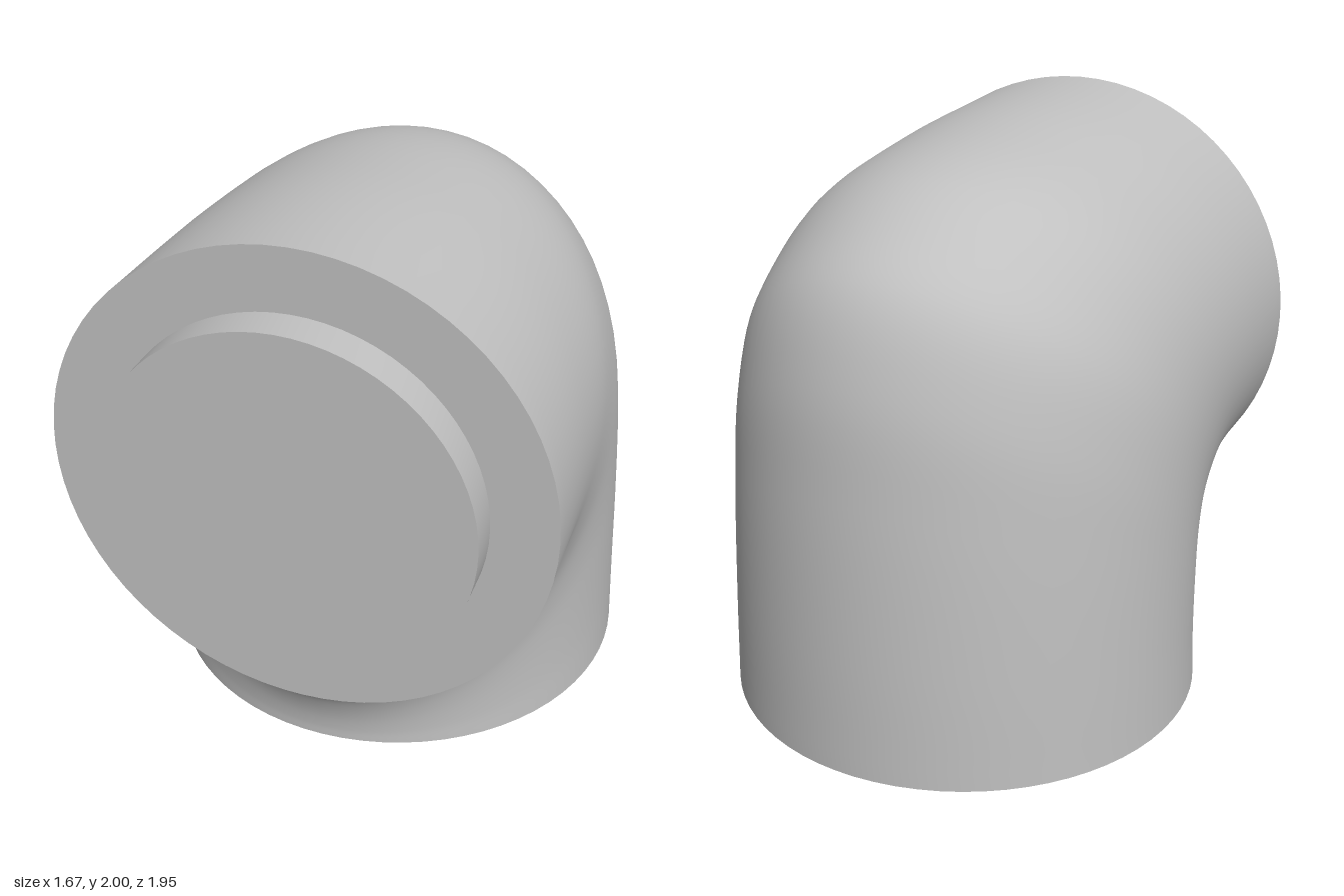
import * as THREE from 'three';
import { toCreasedNormals } from 'three/addons/utils/BufferGeometryUtils.js';

const SEGMENTS = 72;
const STEPS = 48;

const curve = (points) =>
  new THREE.CatmullRomCurve3(points.map(([y, z]) => new THREE.Vector3(0, y, z)));

// Elliptical sections spanning the outer and inner bend of the elbow
function elbowGeometry() {
  const outer = curve([[0.02, -0.973], [0.44, -0.966], [0.97, -0.94], [1.34, -0.897], [1.62, -0.79],
    [1.775, -0.605], [1.9, -0.34], [1.97, 0.19], [2, 0.855]]);
  const inner = curve([[0.02, 0.697], [0.06, 0.698], [0.12, 0.707], [0.18, 0.725], [0.235, 0.75],
    [0.285, 0.785], [0.32, 0.82], [0.335, 0.84], [0.34, 0.855]]);
  const positions = [];
  const indices = [];
  for (let i = 0; i <= STEPS; i++) {
    const t = i / STEPS;
    const o = outer.getPoint(t);
    const n = inner.getPoint(t);
    const centre = o.clone().add(n).multiplyScalar(0.5);
    const half = o.clone().sub(n).multiplyScalar(0.5);
    const width = 0.833 - 0.003 * t - 0.022 * Math.sin(Math.PI * t);
    for (let j = 0; j < SEGMENTS; j++) {
      const a = (j / SEGMENTS) * Math.PI * 2;
      const s = Math.sin(a);
      positions.push(width * Math.cos(a), centre.y + half.y * s, centre.z + half.z * s);
      if (i < STEPS) {
        const p = i * SEGMENTS + j;
        const q = i * SEGMENTS + (j + 1) % SEGMENTS;
        indices.push(p, q, p + SEGMENTS, q, q + SEGMENTS, p + SEGMENTS);
      }
    }
  }
  const geometry = new THREE.BufferGeometry();
  geometry.setAttribute('position', new THREE.Float32BufferAttribute(positions, 3));
  geometry.setIndex(indices);
  geometry.computeVertexNormals();
  return geometry;
}

// Turned end with sharp edges
function turned(profile) {
  const points = profile.map(([r, y]) => new THREE.Vector2(r, y));
  return toCreasedNormals(new THREE.LatheGeometry(points, SEGMENTS), Math.PI / 5);
}

export function createModel() {
  const group = new THREE.Group();
  const grey = new THREE.MeshStandardMaterial({ color: 0xc0c0c0 });
  grey.name = 'grey';

  const add = (name, geometry) => {
    const mesh = new THREE.Mesh(geometry, grey);
    mesh.name = name;
    group.add(mesh);
    return mesh;
  };

  add('elbowBody', elbowGeometry());

  // Bottom rim with a thin lip and a shallow round socket
  const socket = add('bottomSocket', turned([[0, 0.12], [0.62, 0.12], [0.62, 0], [0.77, 0], [0.77, 0.02], [0.835, 0.02]]));
  socket.position.z = -0.138;

  // Front face with a round plug
  const plug = add('frontPlug', turned([[0.83, 0.855], [0.617, 0.855], [0.617, 0.98], [0, 0.98]]));
  plug.rotation.x = Math.PI / 2;
  plug.position.y = 1.17;

  return group;
}
